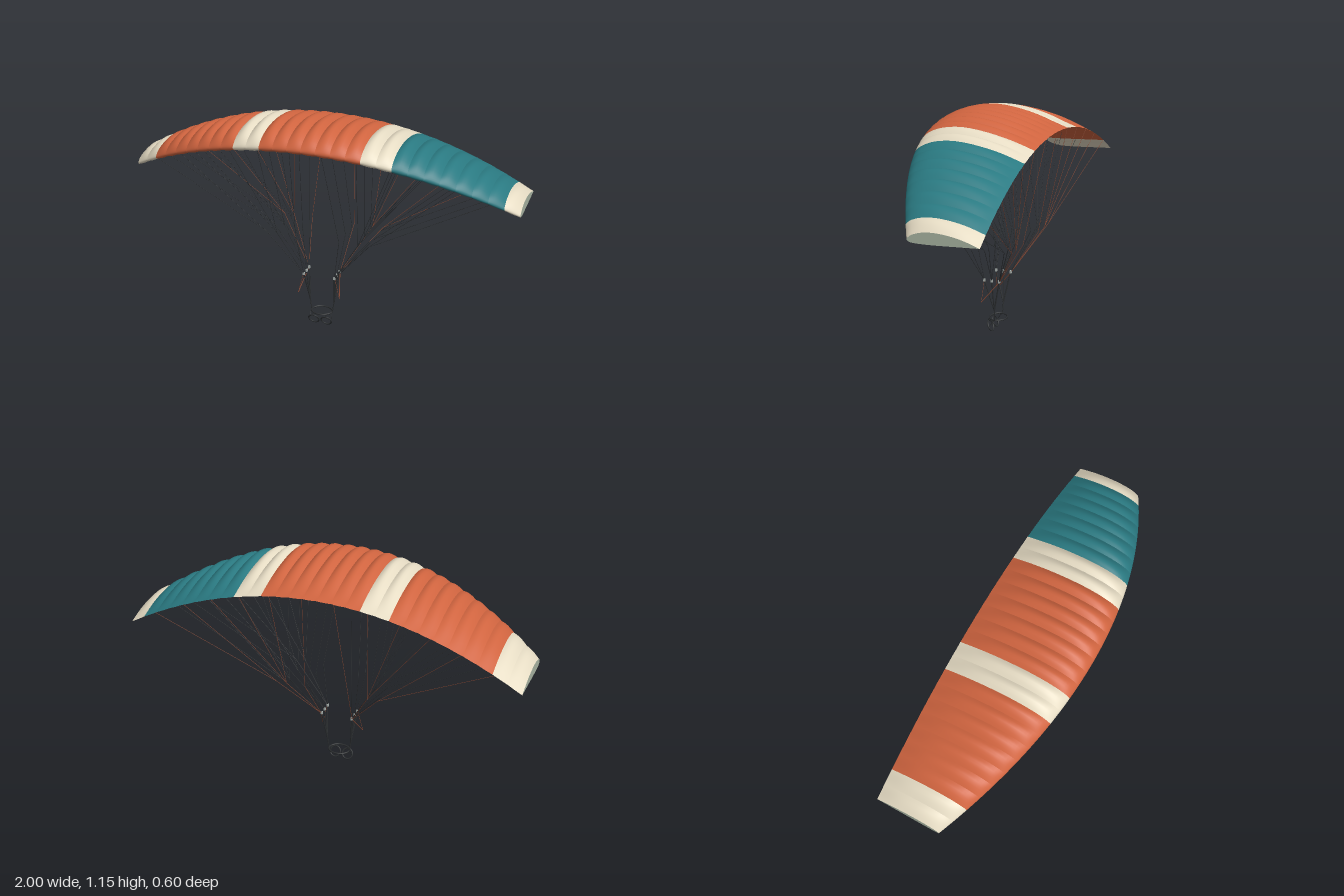
import * as THREE from 'three';

const ORANGE = 0xd0643f, CREAM = 0xe6dcc4, TEAL = 0x2a7a82, SAGE = 0xa9b5a3;
const DARK = 0x2b2e30, BROWN = 0x8a4a35, GREY = 0xa8b0ac;
const CELLS = 28;

const mats = {};
const mat = (color) => (mats[color] ??= new THREE.MeshStandardMaterial({ color, side: THREE.DoubleSide }));
const V = (x, y, z) => new THREE.Vector3(x, y, z);

function add(parent, name, geometry, color) {
  const mesh = new THREE.Mesh(geometry, mat(color));
  mesh.name = name;
  parent.add(mesh);
  return mesh;
}

// Straight round bar between two points
function bar(parent, name, a, b, radius, color, sides = 5) {
  const mesh = add(parent, name, new THREE.CylinderGeometry(radius, radius, a.distanceTo(b), sides), color);
  mesh.position.copy(a).add(b).multiplyScalar(0.5);
  mesh.quaternion.setFromUnitVectors(V(0, 1, 0), b.clone().sub(a).normalize());
  return mesh;
}

// Wing section in chord units: trailing edge, over the top, nose, underside, trailing edge
const section = new THREE.SplineCurve([
  [1, -0.015], [0.8, 0.068], [0.6, 0.123], [0.38, 0.15], [0.2, 0.133], [0.08, 0.088], [0.02, 0.04],
  [0, 0], [0.03, -0.03], [0.12, -0.046], [0.35, -0.046], [0.7, -0.03], [1, -0.015],
].map(([t, h]) => new THREE.Vector2(t, h))).getPoints(36);

// Wing planform and arch at span position x; puff swells the section between ribs
function wingPoint(x, t, h, puff = 0) {
  const front = 0.3 - 0.265 * x * x;
  const back = -0.29 - 0.01 * x * x;
  const chord = front - back;
  return V(x, 1.06 - 0.288 * x * x + h * chord * (0.84 + 0.22 * puff), front - t * chord);
}

function cellGeometry(x0, x1, steps = 6) {
  const pos = [], index = [], m = section.length;
  for (let i = 0; i <= steps; i++) {
    const u = i / steps;
    for (const p of section) {
      pos.push(...wingPoint(x0 + (x1 - x0) * u, p.x, p.y, Math.sin(Math.PI * u)).toArray());
    }
  }
  for (let i = 0; i < steps; i++) {
    for (let j = 0; j < m - 1; j++) {
      const a = i * m + j, b = a + 1, c = a + m, d = c + 1;
      index.push(a, b, c, c, b, d);
    }
  }
  return surface(pos, index);
}

// Flat end rib as a fan around a point inside the section
function capGeometry(x) {
  const pos = wingPoint(x, 0.4, 0.04).toArray(), index = [];
  section.forEach((p, j) => {
    pos.push(...wingPoint(x, p.x, p.y).toArray());
    if (j) index.push(0, ...(x > 0 ? [j + 1, j] : [j, j + 1]));
  });
  return surface(pos, index);
}

function surface(pos, index) {
  const g = new THREE.BufferGeometry();
  g.setAttribute('position', new THREE.Float32BufferAttribute(pos, 3));
  g.setIndex(index);
  g.computeVertexNormals();
  return g;
}

function buildCanopy() {
  const canopy = new THREE.Group();
  canopy.name = 'canopy';
  const bands = [[2, CREAM], [7, ORANGE], [2, CREAM], [7, ORANGE], [2, CREAM], [7, TEAL], [1, CREAM]];
  const colors = bands.flatMap(([n, c]) => Array(n).fill(c));
  colors.forEach((c, k) => {
    add(canopy, 'canopyCell', cellGeometry(-1 + (2 * k) / CELLS, -1 + (2 * (k + 1)) / CELLS), c);
  });
  for (const x of [-1, 1]) add(canopy, 'wingTip', capGeometry(x), SAGE);
  return canopy;
}

// Suspension lines, risers and brake of one side
function buildRigging(s) {
  const rig = new THREE.Group();
  rig.name = s > 0 ? 'leftRigging' : 'rightRigging';
  const P = (x, y, z) => V(s * x, y, z);
  const carabiner = P(0.065, 0.125, -0.005);

  // Each row: riser top z, branching z, chord position, underside height
  const rows = [[0.042, 0.07, 0.1, -0.044], [0.002, -0.033, 0.32, -0.046], [-0.038, -0.135, 0.58, -0.036]];
  // Branching point x and the span positions its upper lines reach
  const fans = [[0.115, [0.08]], [0.215, [0.25, 0.41, 0.56]], [0.27, [0.71, 0.87]]];

  rows.forEach(([zTop, zNode, t, h]) => {
    const top = P(0.083, 0.29, zTop);
    bar(rig, 'riser', carabiner, top, 0.0035, DARK, 6);
    add(rig, 'riserLink', new THREE.BoxGeometry(0.01, 0.014, 0.01), GREY).position.copy(top);
    for (const [x, reach] of fans) {
      const node = P(x, 0.51, zNode);
      bar(rig, 'mainLine', top, node, 0.0016, DARK);
      for (const r of reach) bar(rig, 'upperLine', node, wingPoint(s * r, t, h), 0.0011, DARK);
    }
  });

  // Brake lines to the trailing edge, and the brake handle
  const pulley = P(0.085, 0.288, -0.04);
  const handle = P(0.112, 0.18, 0.048);
  bar(rig, 'brakeHandleLine', pulley, handle, 0.0022, BROWN);
  bar(rig, 'brakeHandleCord', P(0.085, 0.288, 0.042), handle, 0.0011, BROWN);
  for (const [x, reach] of fans) {
    const node = P(x, 0.51, -0.175);
    bar(rig, 'brakeLine', pulley, node, 0.0013, BROWN);
    for (const r of reach) bar(rig, 'upperBrakeLine', node, wingPoint(s * r, 0.98, -0.015), 0.0011, BROWN);
  }

  // Hang strap down to the harness
  bar(rig, 'hangStrap', carabiner, P(0.057, 0.068, -0.003), 0.0028, DARK);
  return rig;
}

function buildHarness() {
  const harness = new THREE.Group();
  harness.name = 'harness';
  const waist = add(harness, 'waistBelt', new THREE.TorusGeometry(0.055, 0.0042, 8, 36), DARK);
  waist.rotation.x = Math.PI / 2;
  waist.scale.y = 0.82;
  waist.position.set(0, 0.068, -0.003);
  for (const s of [-1, 1]) {
    const loop = add(harness, 'legLoop', new THREE.TorusGeometry(0.028, 0.0038, 8, 28), DARK);
    loop.rotation.x = 0.44;
    loop.position.set(s * 0.034, 0.0292, 0.027);
    bar(harness, 'frontStrap', V(s * 0.034, 0.068, 0.036), V(s * 0.034, 0.052, 0.039), 0.0034, DARK);
    bar(harness, 'sideStrap', V(s * 0.056, 0.068, 0), V(s * 0.061, 0.03, 0.027), 0.0018, DARK);
  }
  return harness;
}

export function createModel() {
  const model = new THREE.Group();
  model.name = 'paraglider';
  model.add(buildCanopy(), buildRigging(1), buildRigging(-1), buildHarness());
  return model;
}
